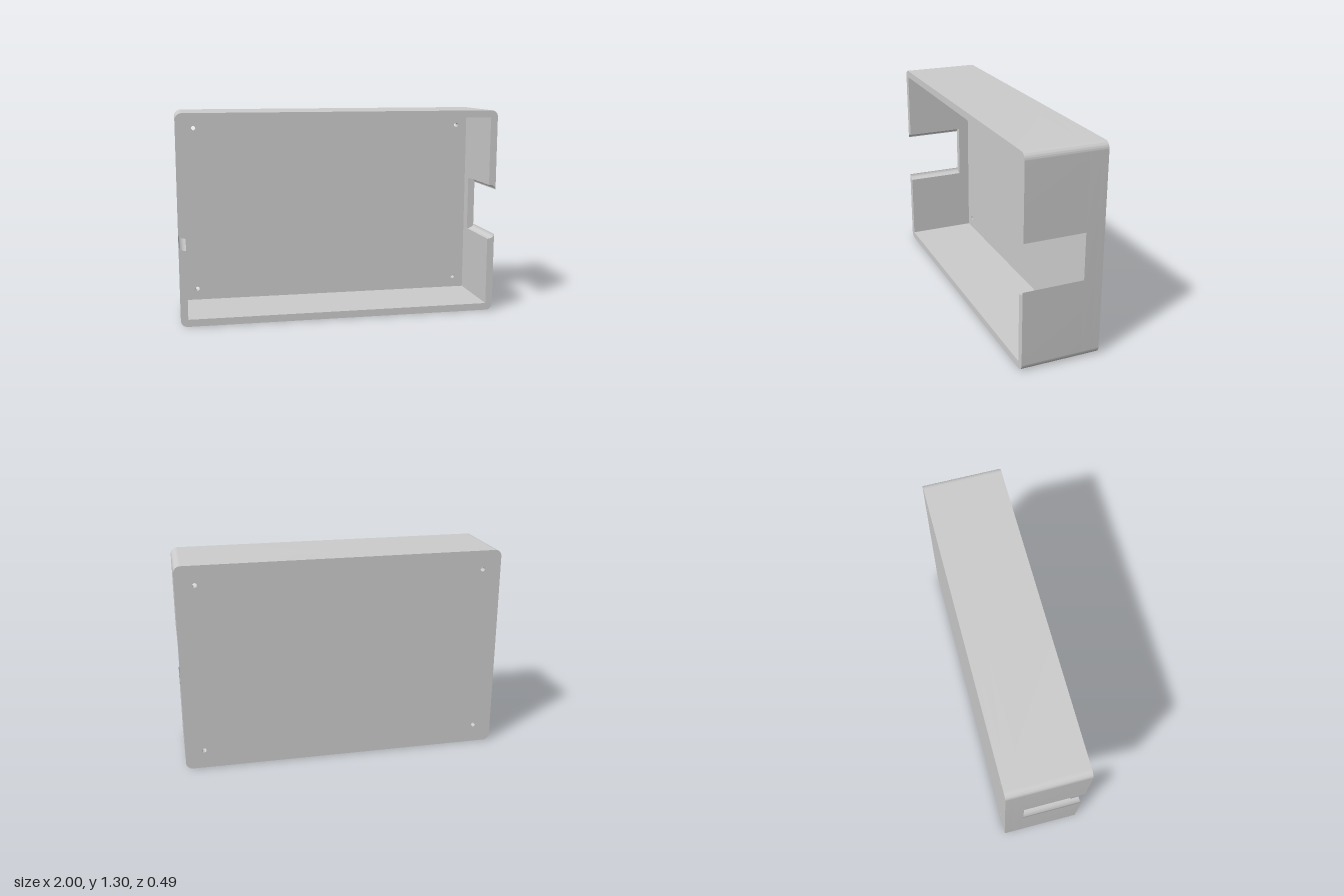
import * as THREE from 'three';
import { toCreasedNormals } from 'three/addons/utils/BufferGeometryUtils.js';

const W = 1, H = 0.648, D = 0.246;    // half sizes of the tray
const WALL = 0.045, R = 0.042;        // wall thickness, corner radius
const NOTCH = 0.145, FLARE = 0.03;    // half height of side notch, widening inwards
const NOTCH_Z = -0.13, FLOOR_Z = -D + WALL;
const IW = W - WALL, IH = H - WALL;

const material = new THREE.MeshStandardMaterial({ color: 0xcccccc });

function extrude(name, shape, z0, z1) {
  const geo = new THREE.ExtrudeGeometry(shape, { depth: z1 - z0, bevelEnabled: false, curveSegments: 10 });
  geo.translate(0, 0, z0);
  const mesh = new THREE.Mesh(toCreasedNormals(geo, 0.6), material);
  mesh.name = name;
  return mesh;
}

function roundedRect() {
  const s = new THREE.Shape();
  s.absarc(W - R, H - R, R, 0, Math.PI / 2);
  s.absarc(-W + R, H - R, R, Math.PI / 2, Math.PI);
  s.absarc(-W + R, -H + R, R, Math.PI, Math.PI * 1.5);
  s.absarc(W - R, -H + R, R, Math.PI * 1.5, Math.PI * 2);
  s.closePath();
  return s;
}

// Half of the rim: a bridge over the top whose two feet curve at the notches
function halfRim() {
  const s = new THREE.Shape();
  s.moveTo(W, NOTCH);
  s.absarc(W - R, H - R, R, 0, Math.PI / 2);
  s.absarc(-W + R, H - R, R, Math.PI / 2, Math.PI);
  s.lineTo(-W, NOTCH);
  s.absellipse(-IW, NOTCH, WALL, FLARE, Math.PI, Math.PI / 2, true);
  s.lineTo(-IW, IH);
  s.lineTo(IW, IH);
  s.lineTo(IW, NOTCH + FLARE);
  s.absellipse(IW, NOTCH, WALL, FLARE, Math.PI / 2, 0, true);
  return s;
}

export function createModel() {
  const group = new THREE.Group();
  group.name = 'enclosure';

  // Back panel with four screw holes
  const panel = roundedRect();
  for (const x of [-0.883, 0.883]) for (const y of [-0.53, 0.53]) {
    panel.holes.push(new THREE.Path().absarc(x, y, 0.014, 0, Math.PI * 2, true));
  }
  group.add(extrude('backPanel', panel, -D, FLOOR_Z));

  // Unbroken wall between the panel and the notches
  const ring = roundedRect();
  ring.holes.push(new THREE.Path([[-IW, -IH], [-IW, IH], [IW, IH], [IW, -IH]].map(p => new THREE.Vector2(...p))));
  group.add(extrude('lowerWall', ring, FLOOR_Z, NOTCH_Z));

  // Front rim in two halves, leaving the side notches open
  const top = extrude('topRim', halfRim(), NOTCH_Z, D);
  const bottom = top.clone();
  bottom.name = 'bottomRim';
  bottom.rotation.z = Math.PI;
  group.add(top, bottom);

  for (const part of group.children) part.position.y = H;
  return group;
}
